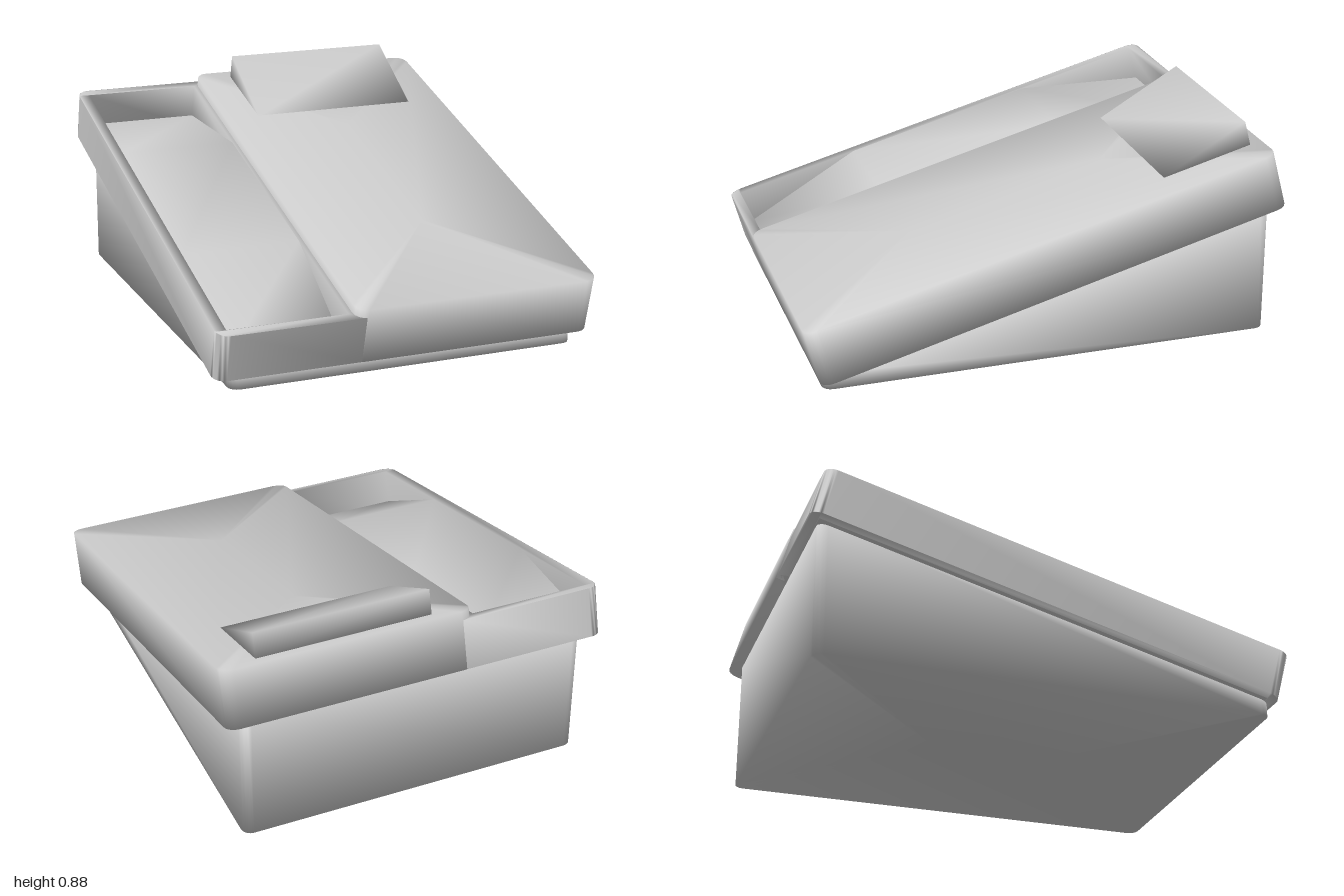
import * as THREE from 'three';
import { mergeVertices } from 'three/addons/utils/BufferGeometryUtils.js';

const material = new THREE.MeshStandardMaterial({ color: 0xcccccc });
const TILT = THREE.MathUtils.degToRad(15);

function mesh(name, geometry) {
  const m = new THREE.Mesh(geometry, material);
  m.name = name;
  return m;
}

// Weld the corners so shading runs softly over the edges
function smooth(geometry) {
  geometry.deleteAttribute('uv');
  geometry.deleteAttribute('normal');
  const g = mergeVertices(geometry, 1e-4);
  g.computeVertexNormals();
  return g;
}

// Block with rounded upright corners; both caps meet at a flat central seam
function roundedBlock(x0, x1, z0, z1, y0, topAt, r, seam) {
  const cx = (x0 + x1) / 2, cz = (z0 + z1) / 2;
  const hw = (x1 - x0) / 2 - r, hl = (z1 - z0) / 2 - r, steps = 4;
  const outline = [];
  [[1, 1], [-1, 1], [-1, -1], [1, -1]].forEach(([sx, sz], q) => {
    for (let i = 0; i <= steps; i++) {
      const a = (q + i / steps) * Math.PI / 2;
      outline.push([cx + sx * hw + r * Math.cos(a), cz + sz * hl + r * Math.sin(a)]);
    }
  });
  const n = outline.length, pos = [], index = [];
  const inner = outline.map(([, z]) => [cx, cz + THREE.MathUtils.clamp(z - cz, -seam, seam)]);
  const rings = [[inner, () => y0], [outline, () => y0], [outline, topAt], [inner, topAt]];
  rings.forEach(([pts, yAt]) => pts.forEach(([x, z]) => pos.push(x, yAt(z), z)));
  for (let k = 0; k < 3; k++) {
    for (let i = 0; i < n; i++) {
      const j = (i + 1) % n;
      const a = k * n + i, b = k * n + j, c = b + n, d = a + n;
      index.push(a, d, c, a, c, b);
    }
  }
  const g = new THREE.BufferGeometry();
  g.setAttribute('position', new THREE.Float32BufferAttribute(pos, 3));
  g.setIndex(index);
  return smooth(g);
}

// Side profile of [z, y] points pulled across from x0 to x1
function sideProfile(points, x0, x1) {
  const shape = new THREE.Shape(points.map(([z, y]) => new THREE.Vector2(-z, y)));
  const g = new THREE.ExtrudeGeometry(shape, { depth: x1 - x0, bevelEnabled: false });
  g.rotateY(Math.PI / 2).translate(x0, 0, 0);
  return smooth(g);
}

// Upright frame around the cradle, rounded on its outer side only
function cradleFrame(x0, x1, half, y0, y1, hole) {
  const r = 0.05;
  const s = new THREE.Shape();
  s.moveTo(x1, -half);
  s.lineTo(x1, half);
  s.lineTo(x0 + r, half);
  s.absarc(x0 + r, half - r, r, Math.PI / 2, Math.PI, false);
  s.lineTo(x0, -half + r);
  s.absarc(x0 + r, -half + r, r, Math.PI, Math.PI * 1.5, false);
  s.closePath();
  const [hx0, hx1, hz] = hole;
  s.holes.push(new THREE.Path([
    new THREE.Vector2(hx0, -hz), new THREE.Vector2(hx0, hz),
    new THREE.Vector2(hx1, hz), new THREE.Vector2(hx1, -hz),
  ]));
  const g = new THREE.ExtrudeGeometry(s, { depth: y1 - y0, bevelEnabled: false, curveSegments: 4 });
  g.rotateX(-Math.PI / 2).translate(0, y0, 0);
  return smooth(g);
}

export function createModel() {
  const model = new THREE.Group();
  model.name = 'deskUnit';

  // Wedge-shaped foot, its top following the underside of the tilted body
  model.add(mesh('base', roundedBlock(-0.725, 0.725, -0.95, 0.915, 0,
    (z) => 0.055 + (0.93 - z) * 0.268, 0.04, 0.25)));

  // Everything above the foot leans back together
  const body = new THREE.Group();
  body.name = 'tiltedBody';
  body.position.y = 0.4225;
  body.rotation.x = TILT;
  model.add(body);

  const bottom = -0.12, top = 0.12, cradleTop = 0.084;

  // Wide main panel
  body.add(mesh('mainPanel', roundedBlock(-0.24, 0.795, -0.999, 0.999, bottom, () => top, 0.05, 0.42)));

  // Lower cradle beside it: frame plus a floor that dips at both ends
  const x0 = -0.75, x1 = -0.257, end = 0.955, dip = 0.415, depth = 0.15;
  body.add(mesh('cradleFrame', cradleFrame(-0.795, -0.19, 0.998, bottom, cradleTop, [x0, x1, end])));
  body.add(mesh('cradleFloor', sideProfile([
    [end, bottom], [end, cradleTop - depth], [dip, cradleTop],
    [-dip, cradleTop], [-end, cradleTop - depth], [-end, bottom],
  ], x0, x1)));

  // Raised wedge display at the back of the panel
  body.add(mesh('displayWedge', sideProfile([[-0.56, 0.118], [-0.95, 0.224], [-0.95, 0.118]], -0.087, 0.64)));

  return model;
}
